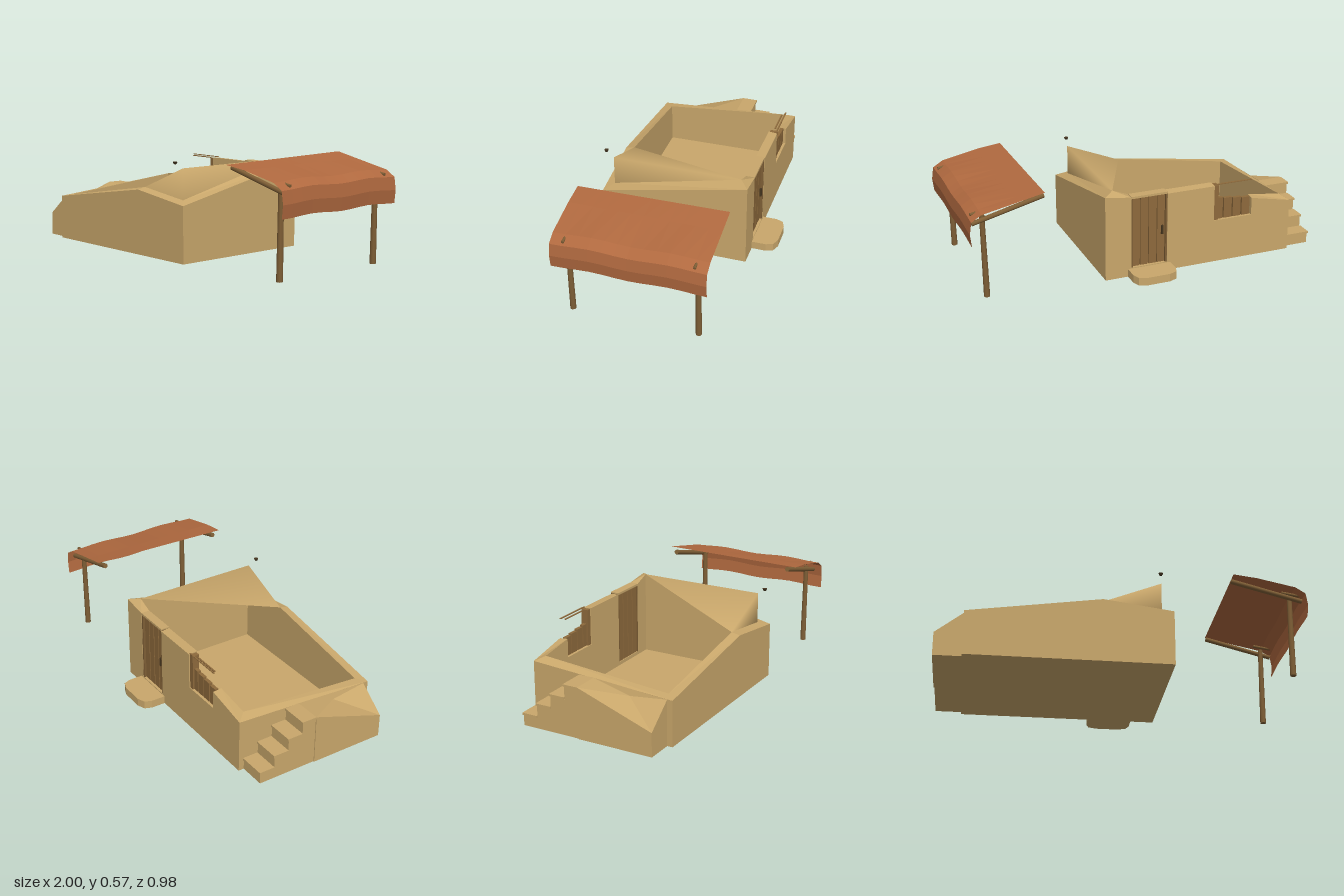
import * as THREE from 'three';

const mat = (name, color, side = THREE.FrontSide) => {
  const m = new THREE.MeshStandardMaterial({ color, side });
  m.name = name;
  return m;
};

export function createModel() {
  const root = new THREE.Group();
  const sand = mat('sandPlaster', 0xc9a76b, THREE.DoubleSide);
  const wood = mat('plankWood', 0x8e6a3c);
  const post = mat('poleWood', 0x7f5f36);
  const cloth = mat('rustCloth', 0xb0693f, THREE.DoubleSide);
  const dark = mat('darkMetal', 0x45351f);

  const add = (name, geo, material, parent = root) => {
    const m = new THREE.Mesh(geo, material);
    m.name = name;
    parent.add(m);
    return m;
  };
  const box = (name, x0, x1, y0, y1, z0, z1, material, parent) => {
    const m = add(name, new THREE.BoxGeometry(x1 - x0, y1 - y0, z1 - z0), material, parent);
    m.position.set((x0 + x1) / 2, (y0 + y1) / 2, (z0 + z1) / 2);
    return m;
  };
  // flat-shaded surface from polygons with corners in order
  const polys = (list) => {
    const pos = [];
    for (const p of list)
      for (let i = 1; i < p.length - 1; i++) pos.push(...p[0], ...p[i], ...p[i + 1]);
    const g = new THREE.BufferGeometry();
    g.setAttribute('position', new THREE.Float32BufferAttribute(pos, 3));
    g.computeVertexNormals();
    return g;
  };
  // wall swept through stations [outerX, outerZ, outerTop, innerX, innerZ, innerTop]
  const wall = (name, stations) => {
    const rings = stations.map(([ox, oz, oy, ix, iz, iy]) =>
      [[ox, 0, oz], [ox, oy, oz], [ix, iy, iz], [ix, 0, iz]]);
    const faces = [[...rings[0]].reverse(), rings[rings.length - 1]];
    for (let i = 0; i < rings.length - 1; i++)
      for (let j = 0; j < 4; j++) {
        const k = (j + 1) % 4;
        faces.push([rings[i][j], rings[i][k], rings[i + 1][k], rings[i + 1][j]]);
      }
    add(name, polys(faces), sand);
  };

  // house: floor slab and broken walls of varying height
  box('floor', -0.85, 0.26, 0, 0.03, -0.35, 0.48, sand);
  const B = -0.35, b = -0.3;
  wall('mainWalls', [
    [0.11, B, 0.465, 0.11, b, 0.465],
    [0.26, B, 0.485, 0.2, b, 0.5],
    [0.26, 0.48, 0.31, 0.2, 0.43, 0.33],
    [-0.12, 0.48, 0.36, -0.12, 0.43, 0.37],
    [-0.85, 0.48, 0.25, -0.8, 0.43, 0.26],
    [-0.85, B, 0.3, -0.81, b, 0.325],
    [-0.61, B, 0.35, -0.61, b, 0.355],
  ]);
  wall('windowSill', [[-0.61, B, 0.25, -0.61, b, 0.25], [-0.38, B, 0.25, -0.38, b, 0.25]]);
  wall('backWallPier', [[-0.38, B, 0.455, -0.38, b, 0.46], [-0.1, B, 0.455, -0.1, b, 0.46]]);
  wall('doorThreshold', [[-0.1, B, 0.05, -0.1, b, 0.05], [0.11, B, 0.05, 0.11, b, 0.05]]);

  // remaining corner of the roof, folded over the front right corner
  const roof = new THREE.BufferGeometry();
  roof.setAttribute('position', new THREE.Float32BufferAttribute([
    0.2, 0.5, -0.3, -0.12, 0.37, 0.43, 0.2, 0.5, 0.43, 0.2, 0.33, 0.43], 3));
  roof.setIndex([0, 1, 2, 2, 3, 0, 1, 3, 2]);
  roof.computeVertexNormals();
  const roofSand = mat('roofPlaster', 0xc9a76b);
  roofSand.name = 'sandPlasterSingleSided';
  add('roofCorner', roof, roofSand);

  // door with planks, frame line and handle
  const door = new THREE.Group();
  door.name = 'door';
  root.add(door);
  box('doorPanel', -0.1, 0.11, 0.05, 0.45, -0.325, -0.31, wood, door);
  for (let i = 0; i < 4; i++) {
    const x = -0.09 + i * 0.049;
    box('doorPlank', x, x + 0.043, 0.05, 0.455, -0.335, -0.305, wood, door);
  }
  for (const x of [-0.1, 0.1]) box('doorJamb', x, x + 0.01, 0.05, 0.46, -0.348, -0.302, post, door);
  box('doorLintel', -0.1, 0.11, 0.455, 0.467, -0.35, -0.3, sand, door);
  box('doorHandle', -0.08, -0.068, 0.22, 0.27, -0.347, -0.334, dark, door);

  // window with broken planks and the loose lintel above
  const win = new THREE.Group();
  win.name = 'window';
  root.add(win);
  for (let i = 0; i < 4; i++) {
    const x = -0.605 + i * 0.055;
    box('windowPlank', x, x + 0.048, 0.25, 0.355 + i * 0.007, -0.335, -0.315, wood, win);
  }
  box('windowJamb', -0.408, -0.382, 0.25, 0.455, -0.345, -0.305, wood, win);
  box('windowLintel', -0.61, -0.38, 0.459, 0.463, -0.348, -0.34, wood, win);
  box('windowSplinter', -0.59, -0.43, 0.452, 0.457, -0.33, -0.322, wood, win);

  // rounded doorstep
  const step = new THREE.Shape();
  [[-0.12, 0.34], [0.13, 0.34], [0.13, 0.43], [0.115, 0.47], [0.07, 0.487], [-0.06, 0.487], [-0.105, 0.47], [-0.12, 0.43]]
    .forEach(([x, y], i) => (i ? step.lineTo(x, y) : step.moveTo(x, y)));
  const stepGeo = new THREE.ExtrudeGeometry(step, { depth: 0.045, bevelEnabled: false });
  stepGeo.rotateX(-Math.PI / 2);
  add('doorstep', stepGeo, sand);

  // outside stairs
  for (let i = 0; i < 4; i++) {
    const z = -0.325 + i * 0.086, y = (i + 1) * 0.07;
    box('stair', -0.995, -0.84, 0, y - 0.012, z + 0.006, 0.02, sand);
    box('stairTread', -1, -0.84, y - 0.012, y, z, Math.min(z + 0.09, 0.02), sand);
  }
  // sloping buttress behind the stairs
  const lo = [[-1, 0, 0.02], [-0.85, 0, 0.02], [-0.85, 0, 0.45], [-1, 0, 0.45]];
  const hi = [0.28, 0.28, 0.25, 0.13].map((y, i) => [lo[i][0], y, lo[i][2]]);
  const mid = [-0.86, 0.23, 0.24];
  const sides = lo.map((p, i) => [p, hi[i], hi[(i + 1) % 4], lo[(i + 1) % 4]]);
  const top = hi.map((p, i) => [p, mid, hi[(i + 1) % 4]]);
  add('stairButtress', polys([lo, ...sides, ...top]), sand);

  // cloth awning: a bent profile swept along z with a wavy hem
  const profile = [[0.59, 0.56], [0.72, 0.54], [0.93, 0.502], [0.985, 0.468], [0.995, 0.4], [0.987, 0.33]];
  const pos = [], idx = [], n = profile.length, rows = 12;
  for (let r = 0; r <= rows; r++) {
    const t = r / rows, z = 0.48 - 0.83 * t;
    profile.forEach(([x, y], i) => {
      const tilt = i === 0 ? 0.012 * (t - 0.4) : 0;
      const wave = i > 1 ? 0.005 * Math.cos(t * Math.PI * 4 + 3) : 0;
      pos.push(x, y + tilt + wave, z);
      if (r < rows && i < n - 1) {
        const a = r * n + i;
        idx.push(a, a + 1, a + n, a + 1, a + n + 1, a + n);
      }
    });
  }
  const clothGeo = new THREE.BufferGeometry();
  clothGeo.setAttribute('position', new THREE.Float32BufferAttribute(pos, 3));
  clothGeo.setIndex(idx);
  const flatCloth = clothGeo.toNonIndexed();
  flatCloth.computeVertexNormals();
  add('awningCloth', flatCloth, cloth);

  // awning poles
  const pole = (name, a, c, r0, r1) => {
    const A = new THREE.Vector3(...a), C = new THREE.Vector3(...c), d = C.clone().sub(A);
    const m = add(name, new THREE.CylinderGeometry(r1, r0, d.length(), 8), post);
    m.position.copy(A).add(C).multiplyScalar(0.5);
    m.quaternion.setFromUnitVectors(new THREE.Vector3(0, 1, 0), d.normalize());
  };
  for (const [pz, bz] of [[0.41, 0.43], [-0.283, -0.31]]) {
    pole('awningPost', [0.905, 0, pz], [0.912, 0.47, pz], 0.017, 0.014);
    pole('awningRafter', [0.585, 0.538, bz], [0.975, 0.438, bz], 0.014, 0.013);
    pole('awningBrace', [0.87, 0.495, pz], [0.975, 0.48, pz], 0.009, 0.008);
  }

  // small hook above the front right corner
  const hook = add('hook', new THREE.CylinderGeometry(0.013, 0.007, 0.012, 8), dark);
  hook.position.set(0.19, 0.531, 0.475);

  return root;
}
